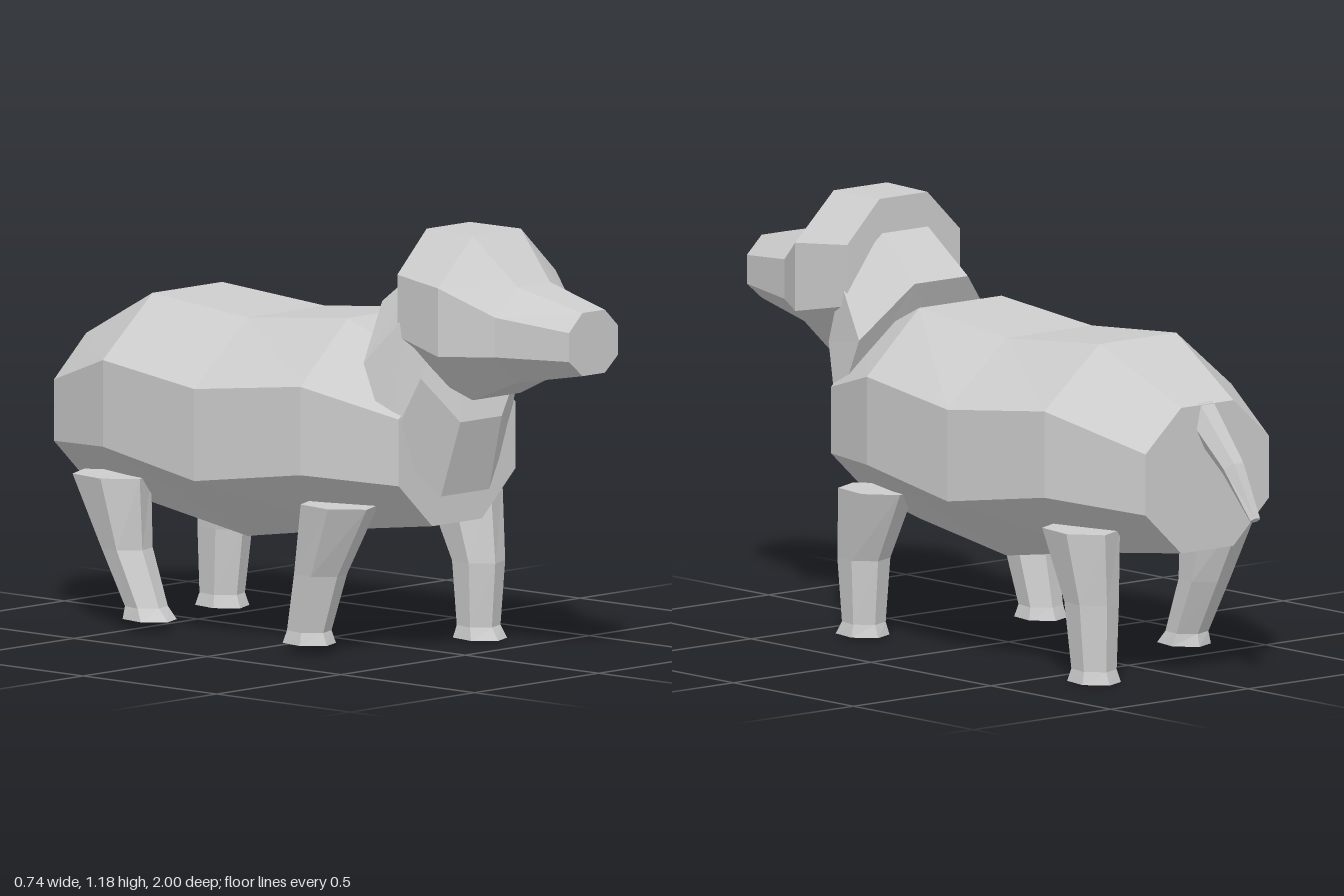
import * as THREE from 'three';

const coat = new THREE.MeshStandardMaterial({ color: 0xcccccc, flatShading: true });
coat.name = 'lightGreyCoat';

// Skin a closed, capped solid over rings of equal point count
function loft(name, rings) {
  const n = rings[0].length, last = rings.length - 1, tris = [];
  for (let r = 0; r < last; r++) {
    for (let i = 0; i < n; i++) {
      const j = (i + 1) % n, a = rings[r][i], b = rings[r][j], c = rings[r + 1][j], d = rings[r + 1][i];
      tris.push([a, b, c], [a, c, d]);
    }
  }
  for (let i = 1; i < n - 1; i++) {
    tris.push([rings[0][0], rings[0][i + 1], rings[0][i]]);
    tris.push([rings[last][0], rings[last][i], rings[last][i + 1]]);
  }
  // Turn the faces outward if the enclosed volume is negative
  const volume = tris.reduce((s, [a, b, c]) => s + a.clone().cross(b).dot(c), 0);
  if (volume < 0) tris.forEach((t) => t.reverse());
  const geometry = new THREE.BufferGeometry().setFromPoints(tris.flat());
  geometry.computeVertexNormals();
  const mesh = new THREE.Mesh(geometry, coat);
  mesh.name = name;
  return mesh;
}

// Eight-sided ring: four heights and depths from top to bottom, narrow and wide half widths
function octagon(ys, zs, narrow, wide, cx = 0) {
  const z = Array.isArray(zs) ? zs : [zs, zs, zs, zs];
  const half = [narrow, wide, wide, narrow];
  const side = (s) => half.map((h, i) => new THREE.Vector3(cx + s * h, ys[i], z[i]));
  return [...side(1), ...side(-1).reverse()];
}

// Level six-sided ring for the legs
function hexagon(cx, y, zFront, zBack, rx) {
  return Array.from({ length: 6 }, (_, i) => {
    const a = THREE.MathUtils.degToRad(42 + i * 60);
    return new THREE.Vector3(cx + Math.cos(a) * rx, y,
      (zFront + zBack) / 2 + Math.sin(a) * (zFront - zBack) / 2);
  });
}

// Leg: depth ranges at hip, knee, ankle and sole
function leg(name, side, ground, ranges) {
  const xs = [0.25, 0.24, 0.24, 0.24], rx = [0.092, 0.069, 0.058, 0.067];
  const ys = [0.42, 0.22, ground + 0.035, ground];
  return loft(name, ranges.map(([f, b], i) => hexagon(side * xs[i], ys[i], f, b, rx[i])));
}

export function createModel() {
  const model = new THREE.Group();
  model.name = 'quadruped';

  // Barrel body, chest to rump
  model.add(loft('body', [
    octagon([0.80, 0.675, 0.49, 0.365], 0.47, 0.1, 0.235),
    octagon([0.92, 0.75, 0.505, 0.335], 0.2, 0.15, 0.34),
    octagon([0.885, 0.71, 0.455, 0.28], -0.17, 0.155, 0.37),
    octagon([0.915, 0.75, 0.51, 0.335], -0.54, 0.14, 0.34),
    octagon([0.77, 0.655, 0.485, 0.365], -0.83, 0.095, 0.225),
  ]));

  // Neck, leaning forward out of the chest
  model.add(loft('neck', [
    octagon([0.97, 0.82, 0.60, 0.45], [0.28, 0.345, 0.44, 0.5], 0.097, 0.242),
    octagon([1.09, 0.965, 0.79, 0.66], [0.43, 0.47, 0.52, 0.56], 0.083, 0.2),
  ]));

  // Head, from the back of the skull to the blunt snout
  model.add(loft('head', [
    octagon([1.185, 1.07, 0.9, 0.78], 0.437, 0.087, 0.205),
    octagon([1.185, 1.055, 0.865, 0.73], 0.625, 0.097, 0.237, -0.007),
    octagon([1.055, 0.98, 0.87, 0.79], 0.77, 0.065, 0.156, -0.013),
    octagon([1.005, 0.955, 0.875, 0.83], 1.0, 0.045, 0.099, -0.02),
  ]));

  // Legs, mid-stride
  model.add(leg('leftFrontLeg', 1, 0.006, [[0.385, 0.14], [0.405, 0.25], [0.39, 0.265], [0.415, 0.25]]));
  model.add(leg('rightFrontLeg', -1, 0.024, [[0.385, 0.14], [0.26, 0.105], [0.205, 0.075], [0.22, 0.06]]));
  model.add(leg('leftRearLeg', 1, 0, [[-0.465, -0.715], [-0.54, -0.705], [-0.565, -0.7], [-0.55, -0.715]]));
  model.add(leg('rightRearLeg', -1, 0.03, [[-0.465, -0.715], [-0.47, -0.615], [-0.41, -0.53], [-0.375, -0.54]]));

  // Drooping tail: x, y, z, half width and half thickness of each ring
  const tail = [
    [0, 0.75, -0.79, 0.05, 0.05],
    [-0.02, 0.6, -0.915, 0.034, 0.033],
    [-0.035, 0.463, -0.99, 0.018, 0.013],
  ];
  model.add(loft('tail', tail.map(([x, y, z, rx, r]) =>
    Array.from({ length: 6 }, (_, i) => {
      const a = i * Math.PI / 3, t = Math.sin(a) * r;
      return new THREE.Vector3(x + Math.cos(a) * rx, y + t * 0.6, z - t * 0.8);
    }))));

  return model;
}
